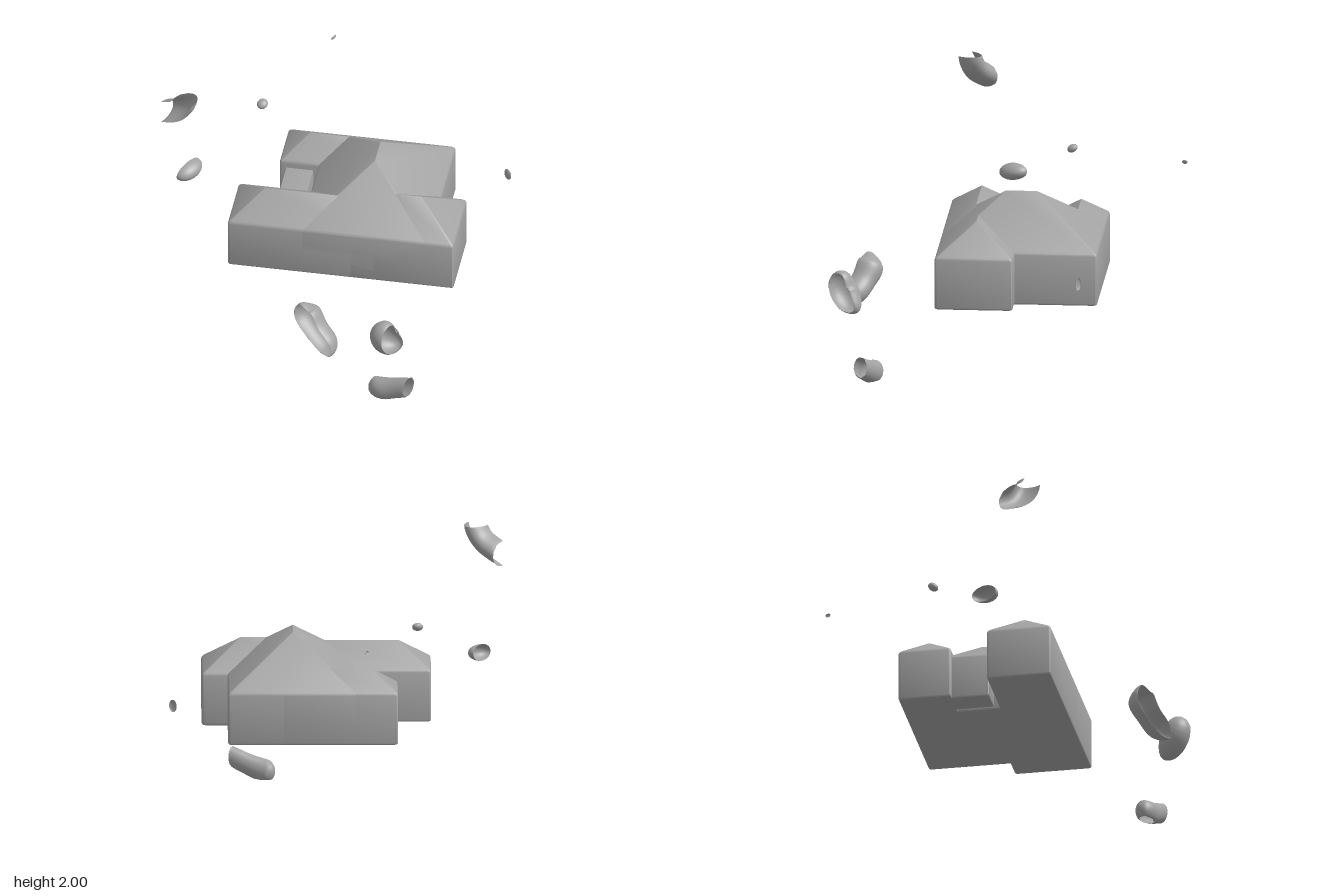
import * as THREE from 'three';
import { toCreasedNormals } from 'three/addons/utils/BufferGeometryUtils.js';

const grey = new THREE.MeshStandardMaterial({ color: 0xa3a3a3, side: THREE.DoubleSide });
grey.name = 'plain grey';

// Skin a list of rings (arrays of Vector3 with equal counts)
function skin(rings) {
  const n = rings[0].length, index = [];
  for (let r = 0; r < rings.length - 1; r++) {
    for (let i = 0; i < n; i++) {
      const a = r * n + i, b = r * n + (i + 1) % n;
      index.push(a, b, a + n, b, b + n, a + n);
    }
  }
  const geo = new THREE.BufferGeometry().setFromPoints(rings.flat());
  geo.setIndex(index);
  return geo;
}

// Cut a surface off at the 2 x 2 x 2 boundary, leaving it open there
function clip(geo) {
  const p = geo.attributes.position, low = [-1, 0, -1], high = [1, 2, 1];
  const sides = [];
  for (let i = 0; i < p.count; i++) {
    let mask = 0;
    for (let k = 0; k < 3; k++) {
      const v = p.getComponent(i, k);
      if (v <= low[k]) mask |= 1 << (2 * k);
      if (v >= high[k]) mask |= 2 << (2 * k);
      p.setComponent(i, k, Math.min(high[k], Math.max(low[k], v)));
    }
    sides.push(mask);
  }
  const old = geo.index.array, kept = [];
  for (let i = 0; i < old.length; i += 3) {
    const [a, b, c] = [old[i], old[i + 1], old[i + 2]];
    if (!(sides[a] & sides[b] & sides[c])) kept.push(a, b, c);
  }
  geo.setIndex(kept);
  geo.computeVertexNormals();
  return geo;
}

// Rectangle with rounded corners, at height y, pulled in by inset
function rectRing(x0, x1, z0, z1, inset, y) {
  const cx = (x0 + x1) / 2, cz = (z0 + z1) / 2;
  const hx = (x1 - x0) / 2 - inset, hz = (z1 - z0) / 2 - inset;
  const c = Math.min(0.018, hx, hz), ring = [];
  for (let q = 0; q < 4; q++) {
    const sx = q === 0 || q === 3 ? 1 : -1, sz = q < 2 ? -1 : 1;
    for (let k = 0; k <= 3; k++) {
      const t = (q + k / 3) * Math.PI / 2;
      ring.push(new THREE.Vector3(
        cx + sx * (hx - c) + c * Math.cos(t), y, cz + sz * (hz - c) - c * Math.sin(t)));
    }
  }
  return ring;
}

// Walls with softened edges; pitch 0 gives a flat top, otherwise a hip roof
function block(name, x0, x1, z0, z1, eave, pitch) {
  const half = Math.min(x1 - x0, z1 - z0) / 2;
  const profile = [
    [half, 0.643], [0.014, 0.643], [0.004, 0.648], [0, 0.658],
    [0, eave - 0.016], [0.004, eave - 0.002], [0.014, eave + 0.014 * pitch], [half, eave + half * pitch],
  ];
  const geo = skin(profile.map(([inset, y]) => rectRing(x0, x1, z0, z1, inset, y)));
  const mesh = new THREE.Mesh(toCreasedNormals(geo, 0.5), grey);
  mesh.name = name;
  return mesh;
}

// Lumpy fragment swept along points [x, y, z, radius]
function lump(name, points, depth = 1) {
  const curve = new THREE.CatmullRomCurve3(points.map(p => new THREE.Vector3(p[0], p[1], p[2])));
  const radii = new THREE.SplineCurve(points.map((p, i) => new THREE.Vector2(i, p[3])));
  const steps = 44, sides = 40, rings = [];
  const { normals, binormals } = curve.computeFrenetFrames(steps);
  for (let s = 0; s <= steps; s++) {
    // ease the stations so the rounded ends get more rings
    const t = (1 - Math.cos(Math.PI * s / steps)) / 2;
    const frame = Math.round(t * steps);
    const centre = curve.getPoint(t);
    const r = radii.getPoint(t).y * Math.sqrt(Math.max(0, 1 - Math.abs(2 * t - 1) ** 4));
    const ring = [];
    for (let i = 0; i < sides; i++) {
      const a = i / sides * Math.PI * 2;
      const o = normals[frame].clone().multiplyScalar(r * Math.cos(a))
        .addScaledVector(binormals[frame], r * Math.sin(a));
      o.z *= depth;
      ring.push(o.add(centre));
    }
    rings.push(ring);
  }
  const mesh = new THREE.Mesh(clip(skin(rings)), grey);
  mesh.name = name;
  return mesh;
}

// Small rounded pebble
function pebble(name, centre, radii, tilt = 0) {
  const geo = new THREE.SphereGeometry(1, 40, 28);
  geo.scale(...radii).rotateX(tilt).rotateZ(-tilt).translate(...centre);
  const mesh = new THREE.Mesh(clip(geo), grey);
  mesh.name = name;
  return mesh;
}

export function createModel() {
  const model = new THREE.Group();
  model.name = 'house with floating fragments';

  // House, turned on its plot
  const house = new THREE.Group();
  house.name = 'house';
  house.rotation.y = 0.574;
  const eave = 1.02, pitch = 0.73;
  house.add(
    block('mainHall', -0.35, 0.577, -0.668, 0.477, eave, pitch),
    block('frontWing', -0.87, 0.2, 0.015, 0.477, eave, pitch),
    block('sideWing', 0, 0.76, -0.08, 0.477, eave, pitch),
    block('rearWing', -0.63, 0.2, -0.668, -0.288, eave, pitch),
    block('courtyardAnnex', -0.585, -0.385, -0.4, -0.018, 0.97, 0),
  );
  model.add(house);

  // Loose fragments around the house
  const fragments = new THREE.Group();
  fragments.name = 'fragments';
  fragments.add(
    lump('frontFragment', [
      [0.34, 0.79, 0.99, 0.06], [0.38, 0.7, 0.98, 0.105], [0.47, 0.6, 0.97, 0.09],
      [0.57, 0.53, 0.97, 0.085], [0.645, 0.48, 1.0, 0.06]], 1.2),
    lump('sideFragment', [
      [0.98, 0.815, 0.76, 0.08], [0.95, 0.7, 0.77, 0.1], [0.95, 0.62, 0.72, 0.1], [0.97, 0.54, 0.62, 0.07]]),
    lump('groundFragment', [
      [0.695, 0.05, 0.635, 0.08], [0.78, 0.06, 0.63, 0.085], [0.92, 0.11, 0.59, 0.075], [1.12, 0.2, 0.54, 0.08]], 0.8),
    lump('cornerFragment', [
      [-1.2, 1.72, 1.0, 0.09], [-1.0, 1.81, 1.0, 0.085], [-0.86, 1.89, 0.99, 0.08],
      [-0.79, 2.0, 0.99, 0.08], [-0.78, 2.15, 1.0, 0.08]], 1.6),
    pebble('edgePebble', [-0.995, 1.14, 0.72], [0.082, 0.06, 0.117], 0.15),
    pebble('floatingPebble', [-0.858, 1.44, 0.092], [0.037, 0.027, 0.041], 0.4),
    pebble('tinyPebble', [-1, 1.455, -0.803], [0.008, 0.015, 0.025], 0.2),
    pebble('backPebble', [0.508, 0.908, -1], [0.032, 0.045, 0.012]),
  );
  model.add(fragments);
  return model;
}
